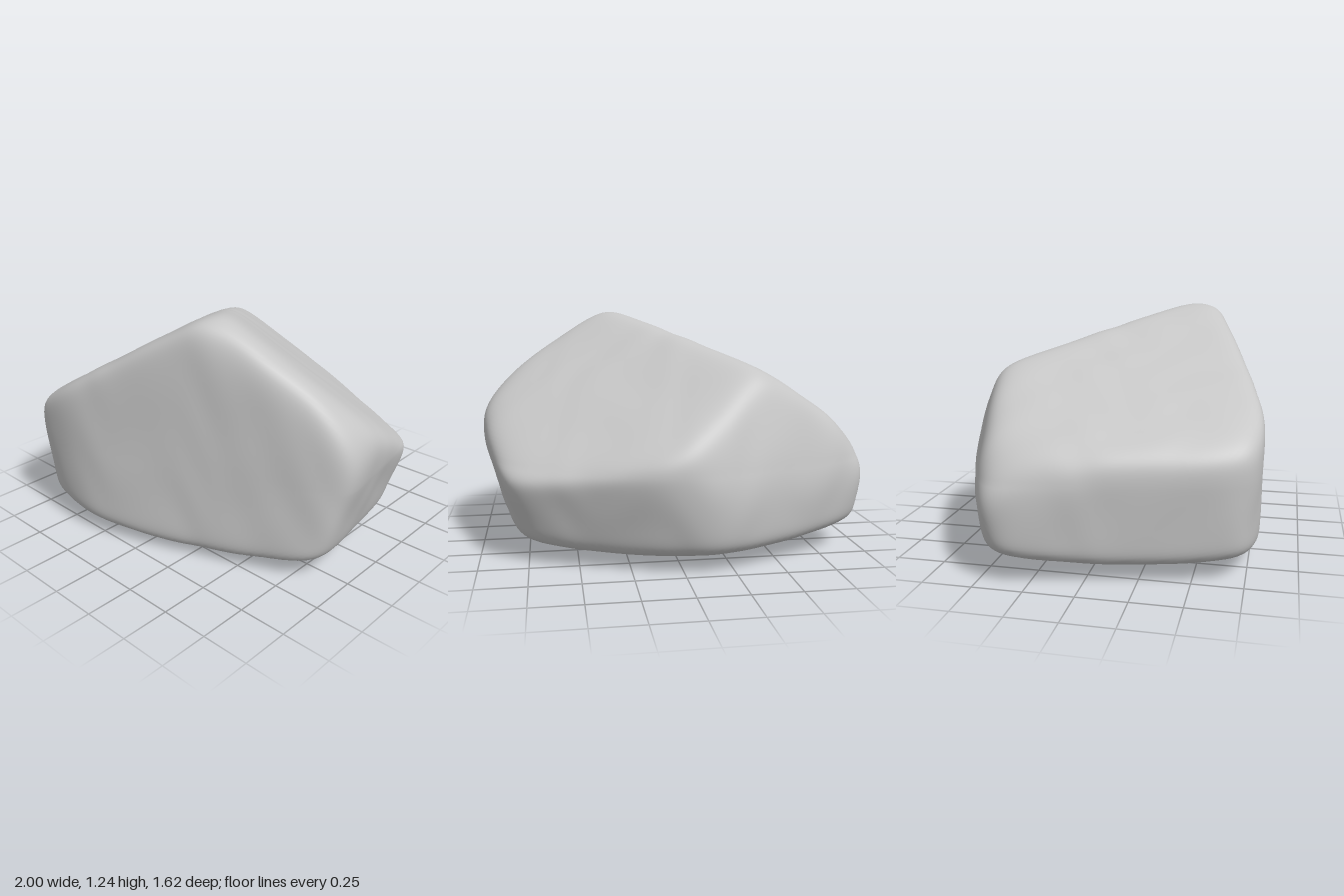
import * as THREE from 'three';
import { mergeVertices } from 'three/addons/utils/BufferGeometryUtils.js';

// Facets of the boulder: outward direction, then distance from the core
const FACETS = [
  [0.35, 0.06, 0.935, 0.64],     // broad front
  [-0.495, 0.862, 0.1, 0.577],   // sloping top, -x side
  [0.342, 0.792, -0.52, 0.52],   // sloping top, back +x side
  [-0.335, 0.298, -0.894, 0.77], // back -x facet
  [-0.965, -0.08, 0.24, 0.91],   // -x end
  [0.96, -0.22, -0.15, 0.925],   // +x end, undercut
  [0.33, -0.25, -0.91, 0.79],    // back +x side, undercut
  [-0.4, -0.15, -0.9, 0.85],     // back -x side, undercut
  [-0.15, -0.06, 0.987, 0.89],   // worn front corner
  [0, 0, -1, 0.87],              // worn back corner
  [0.5, 0.8, 0.3, 0.9],          // worn peak
  [0.8, 0.6, 0.05, 0.95],        // worn +x shoulder
  [-0.8, 0.59, -0.1, 0.86],      // worn -x shoulder
  [0, -1, 0, 0.5],               // base
];
const SHARPNESS = 16;
const CORE_HEIGHT = 0.5;

// Distance to the rounded polyhedron along a unit direction
function radius(d) {
  let sum = 0;
  for (const [x, y, z, h] of FACETS) {
    const t = (x * d.x + y * d.y + z * d.z) / h;
    if (t > 0) sum += t ** SHARPNESS;
  }
  return sum ** (-1 / SHARPNESS);
}

// Gentle unevenness of the weathered surface
function ripple(p) {
  return 0.0012 * (Math.sin(17 * p.x + 9 * p.y + 3 * Math.sin(8 * p.z))
    + Math.sin(19 * p.z - 13 * p.y + 2 * Math.sin(11 * p.x)));
}

export function createModel() {
  const group = new THREE.Group();
  group.name = 'boulder';

  let geometry = new THREE.IcosahedronGeometry(1, 48);
  geometry.deleteAttribute('uv');
  geometry.deleteAttribute('normal');
  geometry = mergeVertices(geometry, 1e-5);

  const pos = geometry.attributes.position;
  const d = new THREE.Vector3();
  const p = new THREE.Vector3();
  for (let i = 0; i < pos.count; i++) {
    d.fromBufferAttribute(pos, i).normalize();
    p.copy(d).multiplyScalar(radius(d));
    p.addScaledVector(d, ripple(p));
    // Bow the base so its rim lifts off the ground
    const rim = p.x ** 2 + (p.z - 0.1) ** 2;
    p.y += 0.12 * rim * THREE.MathUtils.clamp(-p.y / CORE_HEIGHT, 0, 1);
    pos.setXYZ(i, p.x, p.y + CORE_HEIGHT, p.z);
  }
  geometry.computeVertexNormals();

  const stone = new THREE.MeshStandardMaterial({ color: 0xc6c6c6 });
  stone.name = 'grey stone';
  const rock = new THREE.Mesh(geometry, stone);
  rock.name = 'rock';
  group.add(rock);
  return group;
}
